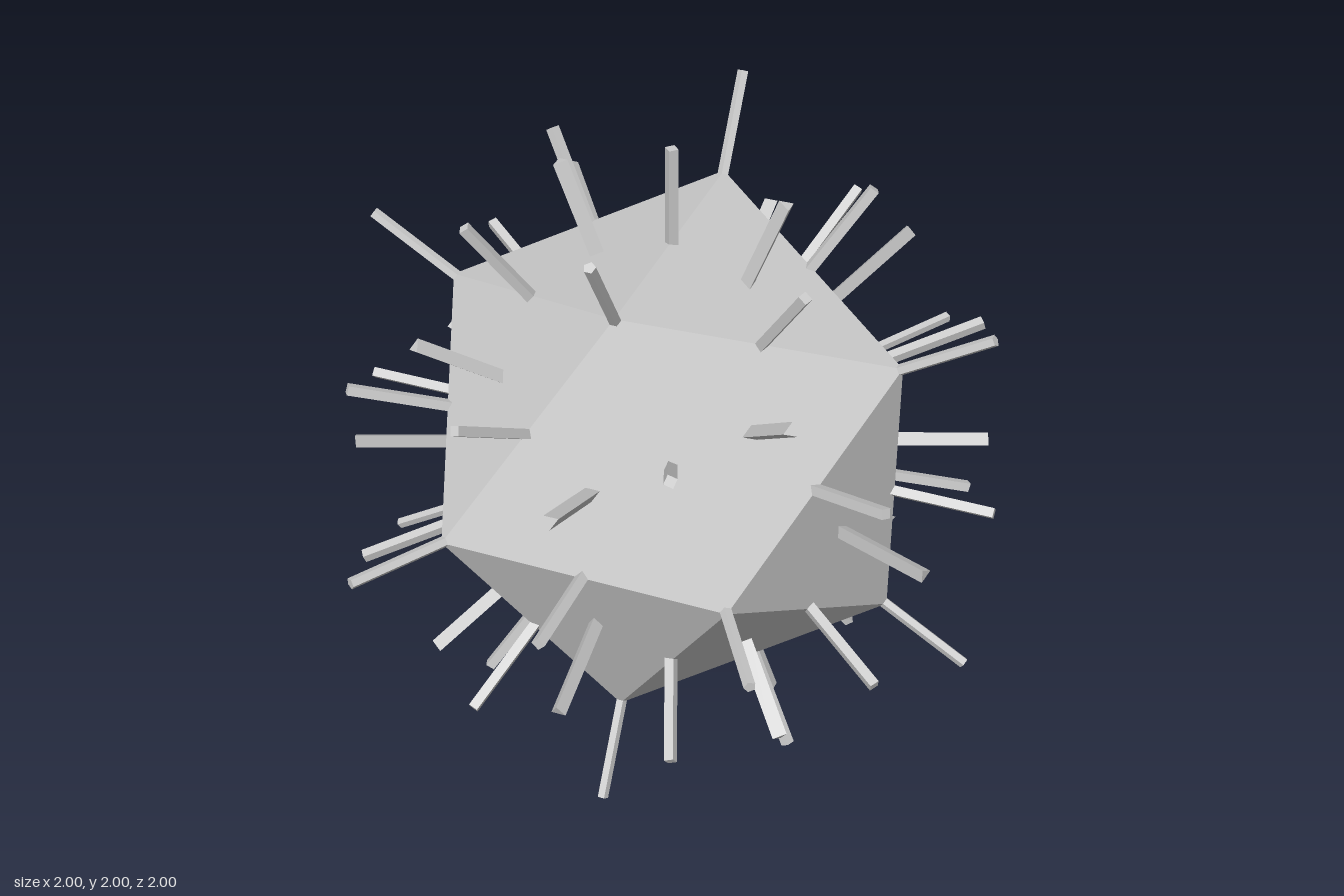
import * as THREE from 'three';

const A = 0.7;                              // distance from centre to edge midpoints
const B = A * 2 / (1 + Math.sqrt(5));       // half an edge
const LENGTH = 0.3, SUNK = 0.03;            // spike length outside and inside the body

export function createModel() {
  const model = new THREE.Group();
  model.name = 'spikyBall';
  const material = new THREE.MeshStandardMaterial({ color: 0xcccccc, flatShading: true });

  // Body: icosahedron with an edge facing each axis
  const body = new THREE.Mesh(new THREE.IcosahedronGeometry(Math.hypot(A, B), 0), material);
  body.geometry.rotateY(Math.PI / 2);
  body.name = 'body';
  body.position.y = 1;
  model.add(body);

  // Corners of the body
  const corners = [];
  for (const a of [A, -A]) for (const b of [B, -B]) {
    corners.push(new THREE.Vector3(a, b, 0), new THREE.Vector3(0, a, b), new THREE.Vector3(b, 0, a));
  }
  const joined = (p, q) => Math.abs(p.distanceTo(q) - 2 * B) < 0.01;

  // Prism standing on a surface point, with one of its ridges turned towards a direction
  function addSpike(name, point, toward, sides, radius) {
    const up = point.clone().normalize();
    const front = toward.clone().addScaledVector(up, -toward.dot(up)).normalize();
    const side = up.clone().cross(front);
    const geometry = new THREE.CylinderGeometry(radius, radius, LENGTH + SUNK, sides);
    geometry.translate(0, (LENGTH - SUNK) / 2, 0);
    const spike = new THREE.Mesh(geometry, material);
    spike.name = name;
    spike.quaternion.setFromRotationMatrix(new THREE.Matrix4().makeBasis(side, up, front));
    spike.position.copy(point);
    spike.position.y += 1;
    model.add(spike);
  }

  corners.forEach((p, i) => {
    // Five-sided spikes on the corners
    addSpike('cornerSpike', p, corners.find((q) => joined(p, q)), 5, 0.0175);
    for (let j = i + 1; j < corners.length; j++) {
      const q = corners[j];
      if (!joined(p, q)) continue;
      // Four-sided spikes on the edge midpoints
      addSpike('edgeSpike', p.clone().add(q).divideScalar(2), p, 4, 0.02);
      for (let k = j + 1; k < corners.length; k++) {
        const r = corners[k];
        if (!joined(p, r) || !joined(q, r)) continue;
        // Three-sided spikes on the face centres, ridges towards the edges
        addSpike('faceSpike', p.clone().add(q).add(r).divideScalar(3), p.clone().negate(), 3, 0.025);
      }
    }
  });
  return model;
}
